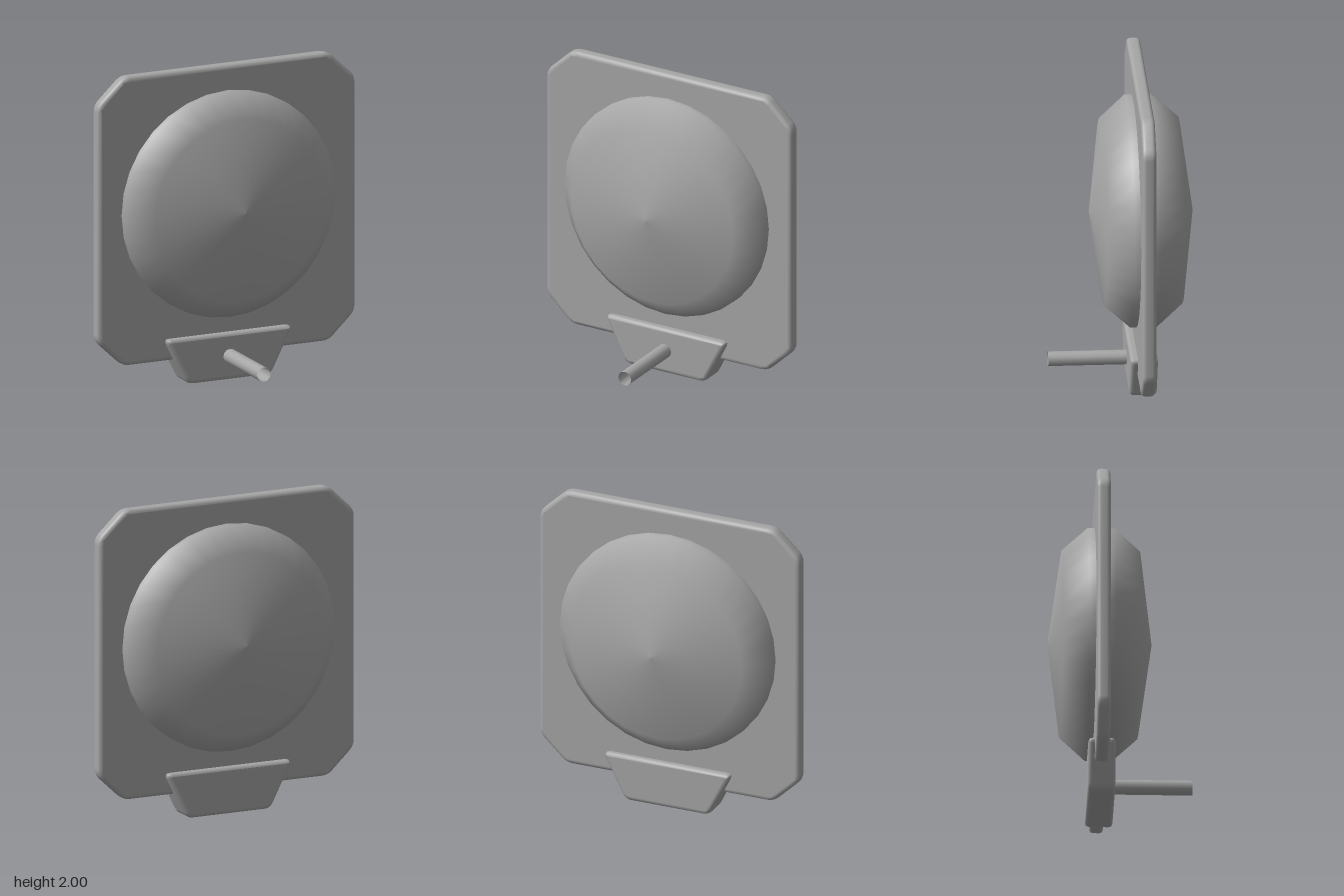
import * as THREE from 'three';
import { mergeVertices } from 'three/addons/utils/BufferGeometryUtils.js';

// Closed outline with each corner cut by a small curve
function roundedOutline(points, r) {
  const shape = new THREE.Shape();
  const v = points.map(([x, y]) => new THREE.Vector2(x, y));
  v.forEach((p, i) => {
    const prev = v[(i + v.length - 1) % v.length];
    const next = v[(i + 1) % v.length];
    const a = prev.clone().sub(p).setLength(r).add(p);
    const b = next.clone().sub(p).setLength(r).add(p);
    if (i === 0) shape.moveTo(a.x, a.y);
    else shape.lineTo(a.x, a.y);
    shape.quadraticCurveTo(p.x, p.y, b.x, b.y);
  });
  shape.closePath();
  return shape;
}

// Slab between two depths with softened rims and shared smooth normals
function softSlab(points, zBack, zFront, bevel) {
  const geometry = new THREE.ExtrudeGeometry(roundedOutline(points, 0.04), {
    depth: zFront - zBack - 2 * bevel,
    bevelEnabled: true,
    bevelThickness: bevel,
    bevelSize: bevel,
    bevelOffset: -bevel,
    bevelSegments: 3,
    curveSegments: 3,
  });
  geometry.translate(0, 0, zBack + bevel);
  geometry.deleteAttribute('uv');
  geometry.deleteAttribute('normal');
  const merged = mergeVertices(geometry, 1e-4);
  merged.computeVertexNormals();
  return merged;
}

export function createModel() {
  const model = new THREE.Group();
  const grey = new THREE.MeshStandardMaterial({ color: 0xa6a6a6, side: THREE.DoubleSide });
  grey.name = 'grey';

  const add = (name, geometry) => {
    const mesh = new THREE.Mesh(geometry, grey);
    mesh.name = name;
    model.add(mesh);
    return mesh;
  };

  // Square plate with clipped corners
  add('plate', softSlab([
    [0.7, 0.155], [0.88, 0.325], [0.88, 1.83], [0.7, 2],
    [-0.7, 2], [-0.88, 1.83], [-0.88, 0.325], [-0.7, 0.155],
  ], -0.165, -0.08, 0.025));

  // Double dome bulging through both sides of the plate
  const profile = [[0, -0.445], [0.58, -0.365], [0.72, -0.205], [0.72, -0.04], [0.58, 0.118], [0, 0.198]]
    .map(([r, z]) => new THREE.Vector2(r, z));
  const dome = add('dome', new THREE.LatheGeometry(profile, 32));
  dome.rotation.x = Math.PI / 2;
  dome.position.y = 1.12;

  // Tapered foot block
  add('foot', softSlab([
    [-0.285, 0.005], [0.285, 0.005], [0.435, 0.297], [-0.435, 0.297],
  ].map(([x, y]) => [x, y - (y < 0.1 ? 0.005 : 0)]), -0.205, -0.035, 0.025));

  // Open tube pointing forward from the foot
  const tube = add('tube', new THREE.CylinderGeometry(0.046, 0.046, 0.5, 12, 1, true));
  tube.rotation.x = Math.PI / 2;
  tube.position.set(0, 0.152, 0.2);

  return model;
}
